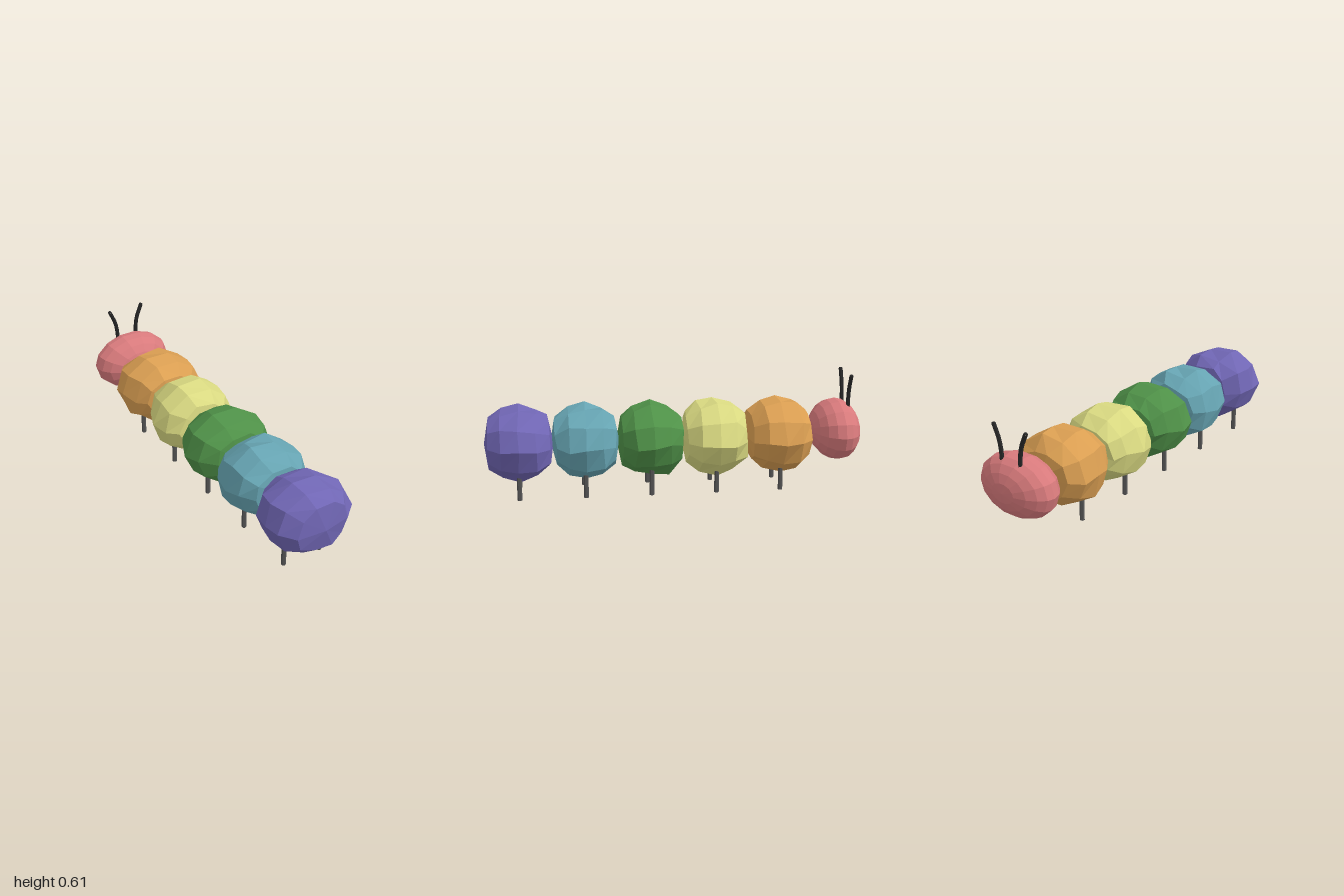
import * as THREE from 'three';

const mat = (name, color) => {
  const m = new THREE.MeshStandardMaterial({ color });
  m.name = name;
  return m;
};

// Small seeded generator for the lumpy body balls
function seeded(seed) {
  let s = seed;
  return () => (s = (s * 16807) % 2147483647) / 2147483647;
}

function flatten(geo) {
  const flat = geo.toNonIndexed();
  flat.computeVertexNormals();
  return flat;
}

// Body ball with its poles along z: full shoulders, ring corners pushed about
function bodyBall(rx, ry, rz, seed) {
  const sides = 10, rings = 6, bump = 0.12;
  const geo = new THREE.SphereGeometry(1, sides, rings);
  geo.rotateX(Math.PI / 2);
  const rand = seeded(seed);
  const shifts = Array.from({ length: sides * (rings + 1) }, () => [rand(), rand(), rand()]);
  const pos = geo.attributes.position;
  const v = new THREE.Vector3();
  for (let r = 1; r < rings; r++) {
    const swell = Math.pow(Math.sin((Math.PI * r) / rings), -0.4);
    for (let i = 0; i <= sides; i++) {
      const k = r * (sides + 1) + i;
      const [a, b, c] = shifts[r * sides + (i % sides)];
      v.fromBufferAttribute(pos, k);
      pos.setXYZ(k,
        v.x * swell + (a - 0.5) * bump,
        v.y * swell + (b - 0.5) * bump,
        v.z + (c - 0.5) * bump * 0.6);
    }
  }
  return flatten(geo.scale(rx, ry, rz));
}

// Head with a longer front half and a blunter back half
function headBall(rx, ry, front, back) {
  const geo = new THREE.SphereGeometry(1, 14, 10);
  geo.rotateX(Math.PI / 2);
  const pos = geo.attributes.position;
  for (let k = 0; k < pos.count; k++) {
    const z = pos.getZ(k);
    pos.setXYZ(k, pos.getX(k) * rx, pos.getY(k) * ry, z * (z > 0 ? front : back));
  }
  return flatten(geo);
}

export function createModel() {
  const model = new THREE.Group();
  model.name = 'caterpillar';

  const add = (parent, name, geo, material, x, y, z) => {
    const mesh = new THREE.Mesh(geo, material);
    mesh.name = name;
    mesh.position.set(x, y, z);
    parent.add(mesh);
    return mesh;
  };

  const legGrey = mat('leg grey', 0x555555);
  const antennaBlack = mat('antenna black', 0x262626);
  const headRed = mat('head red', 0xd87a7c);
  const bodyColours = [
    mat('violet', 0x7066b4),
    mat('teal', 0x66a4b2),
    mat('green', 0x4f9148),
    mat('yellow', 0xd9d981),
    mat('orange', 0xdb9f52),
  ];

  // Body balls, each with a pair of legs
  const legGeo = flatten(new THREE.CylinderGeometry(0.0125, 0.0125, 0.15, 6));
  bodyColours.forEach((material, i) => {
    const z = 0.82 - i * 0.344;
    const segment = new THREE.Group();
    segment.name = 'segment' + (i + 1);
    add(segment, 'bodyBall', bodyBall(0.229, 0.196, 0.18, 71 + i * 1013), material, 0, 0.283, z - 0.004);
    for (const side of [1, -1]) {
      add(segment, side > 0 ? 'leftLeg' : 'rightLeg', legGeo, legGrey, side * 0.108, 0.078, z);
    }
    model.add(segment);
  });

  // Head
  add(model, 'head', headBall(0.226, 0.162, 0.145, 0.12), headRed, 0, 0.3, -0.88);

  // Bent antennae
  for (const side of [1, -1]) {
    const path = new THREE.CatmullRomCurve3([
      new THREE.Vector3(side * 0.058, 0.42, -0.925),
      new THREE.Vector3(side * 0.061, 0.48, -0.925),
      new THREE.Vector3(side * 0.071, 0.535, -0.925),
      new THREE.Vector3(side * 0.101, 0.607, -0.925),
    ]);
    const antenna = new THREE.Group();
    antenna.name = side > 0 ? 'leftAntenna' : 'rightAntenna';
    add(antenna, 'stalk', flatten(new THREE.TubeGeometry(path, 6, 0.011, 6)), antennaBlack, 0, 0, 0);
    // Closed tip
    const tip = add(antenna, 'tip', flatten(new THREE.CylinderGeometry(0.009, 0.011, 0.006, 6)), antennaBlack,
      side * 0.102, 0.61, -0.925);
    tip.rotation.z = -side * 0.38;
    model.add(antenna);
  }

  return model;
}
